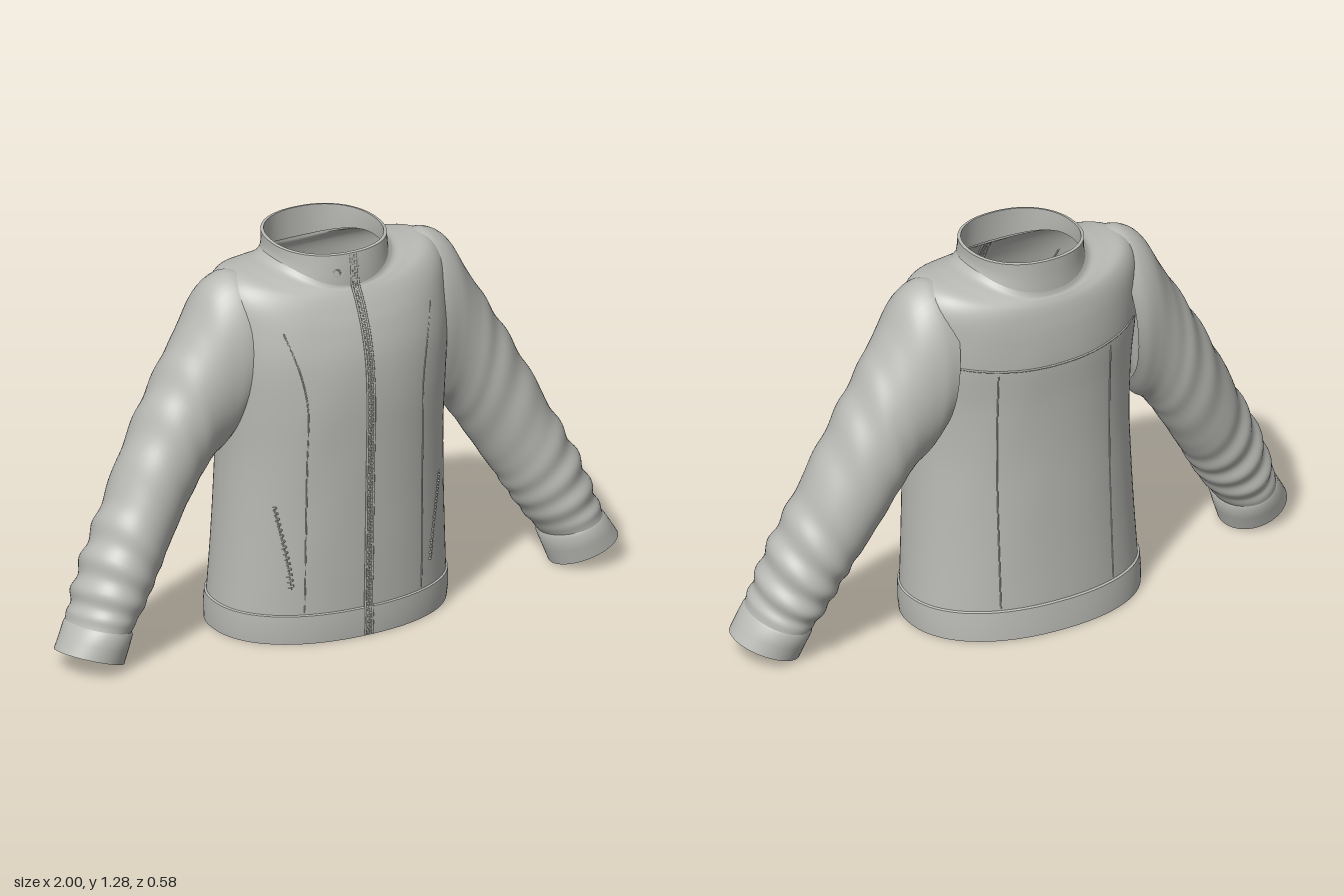
import * as THREE from 'three';
import { mergeGeometries, toCreasedNormals } from 'three/addons/utils/BufferGeometryUtils.js';

const V = (x, y, z) => new THREE.Vector3(x, y, z);
const cloth = new THREE.MeshStandardMaterial({ color: 0xb9b9b5, side: THREE.DoubleSide });
cloth.name = 'grey cloth';

// Closed-ring surface: fn(u, angle) gives a point, u runs 0..1 along the part
function loft(rows, cols, fn, flip) {
  const pos = [], idx = [];
  for (let i = 0; i <= rows; i++)
    for (let j = 0; j < cols; j++) pos.push(...fn(i / rows, (j / cols) * Math.PI * 2).toArray());
  for (let i = 0; i < rows; i++)
    for (let j = 0; j < cols; j++) {
      const a = i * cols + j, b = i * cols + (j + 1) % cols, c = a + cols, d = b + cols;
      if (flip) idx.push(a, b, c, b, d, c);
      else idx.push(a, c, b, b, c, d);
    }
  const g = new THREE.BufferGeometry();
  g.setAttribute('position', new THREE.Float32BufferAttribute(pos, 3));
  g.setIndex(idx);
  g.computeVertexNormals();
  return g;
}

const pw = (v, e) => Math.sign(v) * Math.abs(v) ** e;
const N = 2.2; // squareness of the body cross-section

// Rings: height, extra height at the sides, half width, front z, back z
const BODY = [
  [0.10, 0, 0.396, 0.265, -0.272], [0.28, 0, 0.386, 0.271, -0.263], [0.45, 0, 0.379, 0.275, -0.256],
  [0.62, 0, 0.376, 0.280, -0.250], [0.80, 0, 0.384, 0.284, -0.251], [0.94, 0, 0.396, 0.274, -0.257],
  [1.04, 0.02, 0.400, 0.248, -0.252], [1.10, 0.055, 0.392, 0.222, -0.243], [1.135, 0.07, 0.350, 0.203, -0.234],
  [1.155, 0.06, 0.275, 0.190, -0.224], [1.165, 0.055, 0.222, 0.183, -0.217], [1.185, 0.05, 0.198, 0.179, -0.212],
];
const HEM = [
  [0.04, 0, 0.388, 0.258, -0.278], [0.008, 0, 0.388, 0.258, -0.278], [0.004, 0, 0.400, 0.268, -0.290],
  [0.05, 0, 0.404, 0.272, -0.286], [0.10, 0, 0.402, 0.271, -0.279], [0.104, 0, 0.394, 0.263, -0.271],
];
const COLLAR = [
  [1.165, 0.05, 0.206, 0.182, -0.214], [1.20, 0.035, 0.196, 0.182, -0.212], [1.24, 0.015, 0.193, 0.179, -0.211],
  [1.279, 0, 0.194, 0.174, -0.211], [1.281, 0, 0.184, 0.164, -0.201], [1.24, 0.01, 0.183, 0.166, -0.201],
  [1.18, 0.04, 0.186, 0.168, -0.202],
];
const ringPoint = (y, lift, hx, zf, zb, a, tilt = 0) => {
  const c = Math.cos(a), s = pw(Math.sin(a), 2 / N), mid = (zf + zb) / 2;
  const z = mid + s * (zf - zb) / 2;
  return V(hx * pw(c, 2 / N), y + lift * c * c - tilt * z, z);
};

// Smooth body surface through the rings
const bodyA = new THREE.CatmullRomCurve3(BODY.map(r => V(r[0], r[1], r[2])), false, 'catmullrom');
const bodyB = new THREE.CatmullRomCurve3(BODY.map(r => V(r[3], r[4], 0)), false, 'catmullrom');
function bodyPoint(u, a) {
  const p = bodyA.getPoint(u), q = bodyB.getPoint(u);
  const v = ringPoint(p.x, p.y, p.z, q.x, q.y, a);
  // soft drapes under the arms
  const side = Math.abs(Math.cos(a)), fade = Math.sin(Math.PI * Math.min(1, u * 1.15));
  const k = 1 + 0.012 * fade * side * Math.sin(9 * side + 14 * v.y) * (1 - side);
  return V(v.x, v.y, v.z * k);
}
// Point on the body at a given x and height, front (+1) or back (-1)
function onBody(x, y, face, off = 0.001) {
  let lo = 0, hi = 1, p, a;
  for (let i = 0; i < 24; i++) {
    const u = (lo + hi) / 2, hx = bodyA.getPoint(u).z;
    a = face * Math.acos(pw(Math.max(-1, Math.min(1, x / hx)), N / 2));
    p = bodyPoint(u, a);
    if (p.y < y) lo = u; else hi = u;
  }
  return V(x, y, p.z + face * off);
}
// Straight-sided bands with crisp edges
const band = (keys, tilt) => toCreasedNormals(loft(keys.length - 1, 72,
  (u, a) => ringPoint(...keys[Math.round(u * (keys.length - 1))], a, tilt)), 0.7);

// Sleeve rings: outer x, y, front z, then inner x, y, back z
const SLEEVE = [
  [0.30, 1.208, 0.150, 0.350, 0.69, -0.190], [0.365, 1.212, 0.148, 0.372, 0.65, -0.192],
  [0.43, 1.170, 0.140, 0.395, 0.62, -0.184], [0.49, 1.065, 0.132, 0.430, 0.595, -0.174],
  [0.565, 0.94, 0.130, 0.470, 0.545, -0.168], [0.635, 0.82, 0.130, 0.510, 0.485, -0.160],
  [0.705, 0.69, 0.135, 0.560, 0.405, -0.148], [0.785, 0.53, 0.147, 0.610, 0.325, -0.128],
  [0.86, 0.385, 0.160, 0.655, 0.250, -0.112], [0.91, 0.26, 0.170, 0.700, 0.180, -0.100],
  [0.945, 0.16, 0.172, 0.752, 0.110, -0.080],
];
const CUFF = [
  [0.94, 0.165, 0.168, 0.752, 0.115, -0.078], [0.952, 0.155, 0.177, 0.748, 0.100, -0.082],
  [0.975, 0.118, 0.177, 0.764, 0.052, -0.068], [0.998, 0.080, 0.176, 0.780, 0.006, -0.056],
  [0.990, 0.076, 0.166, 0.790, 0.008, -0.046], [0.955, 0.130, 0.164, 0.775, 0.070, -0.060],
];
function armPoint(o, i, a, s, swell = 1) {
  const c = Math.cos(a) * swell, w = Math.sin(a) * swell, m = (o.z + i.z) / 2;
  return V(s * ((o.x + i.x) / 2 + c * (o.x - i.x) / 2), (o.y + i.y) / 2 + c * (o.y - i.y) / 2 + 0.015 * w, m + w * (o.z - i.z) / 2);
}
const armOuter = new THREE.CatmullRomCurve3(SLEEVE.map(r => V(r[0], r[1], r[2])), false, 'catmullrom');
const armInner = new THREE.CatmullRomCurve3(SLEEVE.map(r => V(r[3], r[4], r[5])), false, 'catmullrom');
const smooth = THREE.MathUtils.smoothstep;
function sleevePoint(u, a, s) {
  // folds bunch up toward the wrist, with a softer pair at the elbow
  const wrist = smooth(u, 0.62, 0.8) * (1 - smooth(u, 0.95, 1));
  const elbow = smooth(u, 0.3, 0.42) * (1 - smooth(u, 0.62, 0.75));
  const fold = 0.055 * wrist * Math.sin(u * 78 + 1.3 * Math.sin(a + 0.6)) * (0.65 + 0.35 * Math.cos(a + 0.4))
    + 0.025 * elbow * Math.sin(u * 52 + 1.8 * Math.sin(a)) * (0.6 + 0.4 * Math.cos(a));
  return armPoint(armOuter.getPoint(u), armInner.getPoint(u), a, s, 1 + fold);
}

const tube = (pts, r) => new THREE.TubeGeometry(new THREE.CatmullRomCurve3(pts), pts.length * 4, r, 5);
// Row of interlocking teeth along a path, facing the front
function teeth(pts, count, w) {
  const curve = new THREE.CatmullRomCurve3(pts), parts = [];
  for (let i = 0; i < count; i++) {
    const p = curve.getPointAt((i + 0.5) / count), t = curve.getTangentAt((i + 0.5) / count);
    const g = new THREE.BoxGeometry(w, 0.006, 0.007);
    g.translate((i % 2 ? 1 : -1) * w * 0.35, 0, 0);
    g.applyQuaternion(new THREE.Quaternion().setFromUnitVectors(V(0, 1, 0), t));
    parts.push(g.translate(p.x, p.y, p.z));
  }
  return mergeGeometries(parts);
}

export function createModel() {
  const group = new THREE.Group();
  const add = (name, geo) => {
    const m = new THREE.Mesh(geo, cloth);
    m.name = name;
    group.add(m);
    return m;
  };
  add('body', loft(66, 96, bodyPoint));
  add('hemBand', band(HEM));
  add('collar', band(COLLAR, 0.03));

  for (const s of [1, -1]) {
    const side = s > 0 ? 'left' : 'right';
    add(side + 'Sleeve', loft(110, 48, (u, a) => sleevePoint(u, a, s), s > 0));
    add(side + 'Cuff', toCreasedNormals(loft(CUFF.length - 1, 48, (u, a) => {
      const r = CUFF[Math.round(u * (CUFF.length - 1))];
      return armPoint(V(r[0], r[1], r[2]), V(r[3], r[4], r[5]), a, s);
    }, s > 0), 0.7));

    // panel seams on the front and back
    const front = [[0.21, 0.11], [0.209, 0.35], [0.208, 0.6], [0.208, 0.82], [0.23, 0.94], [0.265, 1.06]];
    add(side + 'FrontSeam', tube(front.map(([x, y]) => onBody(s * x, y, 1, 0)), 0.0025));
    const back = [0.11, 0.3, 0.5, 0.7, 0.93];
    add(side + 'BackSeam', tube(back.map(y => onBody(s * 0.205, y, -1, 0)), 0.0025));

    // slanted pocket zip
    const pocket = [[0.298, 0.475], [0.28, 0.38], [0.263, 0.29], [0.25, 0.19]].map(([x, y]) => onBody(s * x, y, 1, 0.001));
    add(side + 'PocketZip', teeth(pocket, 30, 0.012));
  }

  // back yoke edge
  const yoke = [];
  for (let i = -8; i <= 8; i++) yoke.push(onBody(i * 0.041, 0.935 + 0.03 * (i / 8) ** 2, -1, 0));
  add('yokeSeam', tube(yoke, 0.0035));

  // front zip with a raised placket edge on each side
  const zip = [V(0, 0.008, 0.270), V(0, 0.06, 0.274)];
  for (let y = 0.13; y < 1.13; y += 0.09) zip.push(onBody(0, y, 1, 0.002));
  zip.push(V(0, 1.17, 0.184), V(0, 1.22, 0.179), V(0, 1.268, 0.173));
  add('zipTeeth', teeth(zip, 130, 0.010));
  for (const x of [-0.012, 0.012])
    add('zipEdge', tube(zip.map(p => V(p.x + x, p.y, p.z - 0.001)), 0.004));

  // collar snap
  const snap = add('collarSnap', new THREE.TorusGeometry(0.01, 0.003, 6, 16));
  snap.position.set(-0.06, 1.215, 0.172);
  snap.rotation.y = -0.3;
  return group;
}
